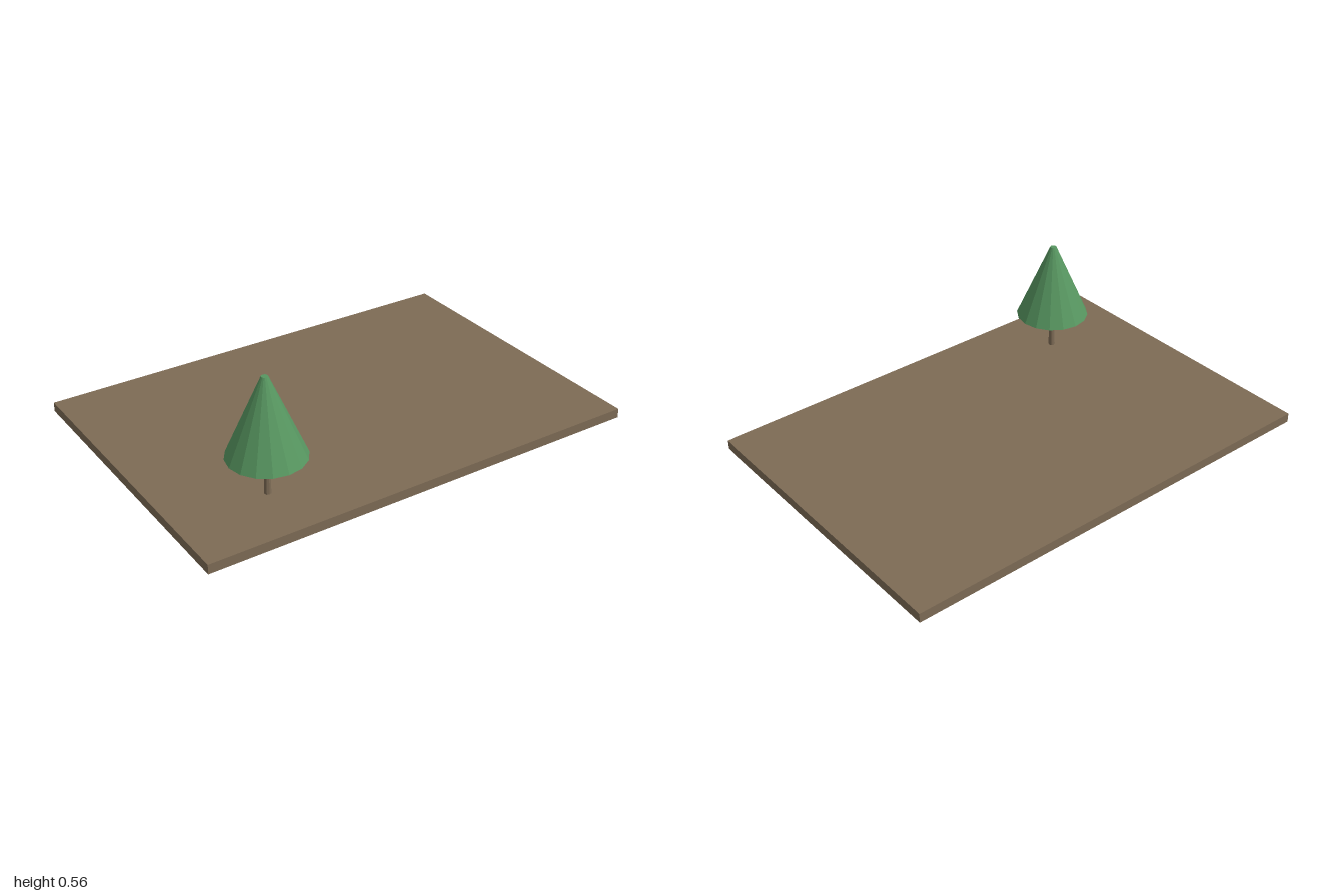
import * as THREE from 'three';

export function createModel() {
  const model = new THREE.Group();
  const earth = new THREE.MeshStandardMaterial({ name: 'earth brown', color: 0x7d6b55, flatShading: true });
  const leaf = new THREE.MeshStandardMaterial({ name: 'leaf green', color: 0x579660, flatShading: true });

  const add = (parent, name, geometry, material, y) => {
    const mesh = new THREE.Mesh(geometry, material);
    mesh.name = name;
    mesh.position.y = y;
    parent.add(mesh);
  };

  // Ground slab
  const slabHeight = 0.042;
  add(model, 'groundSlab', new THREE.BoxGeometry(2, slabHeight, 1.384), earth, slabHeight / 2);

  // Conifer near the front right corner
  const tree = new THREE.Group();
  tree.name = 'tree';
  tree.position.set(-0.585, slabHeight, 0.415);
  const trunkHeight = 0.17, crownHeight = 0.345;
  add(tree, 'trunk', new THREE.CylinderGeometry(0.011, 0.015, trunkHeight, 8), earth, trunkHeight / 2);
  add(tree, 'crown', new THREE.CylinderGeometry(0.014, 0.165, crownHeight, 16), leaf, trunkHeight + crownHeight / 2);
  model.add(tree);

  return model;
}
